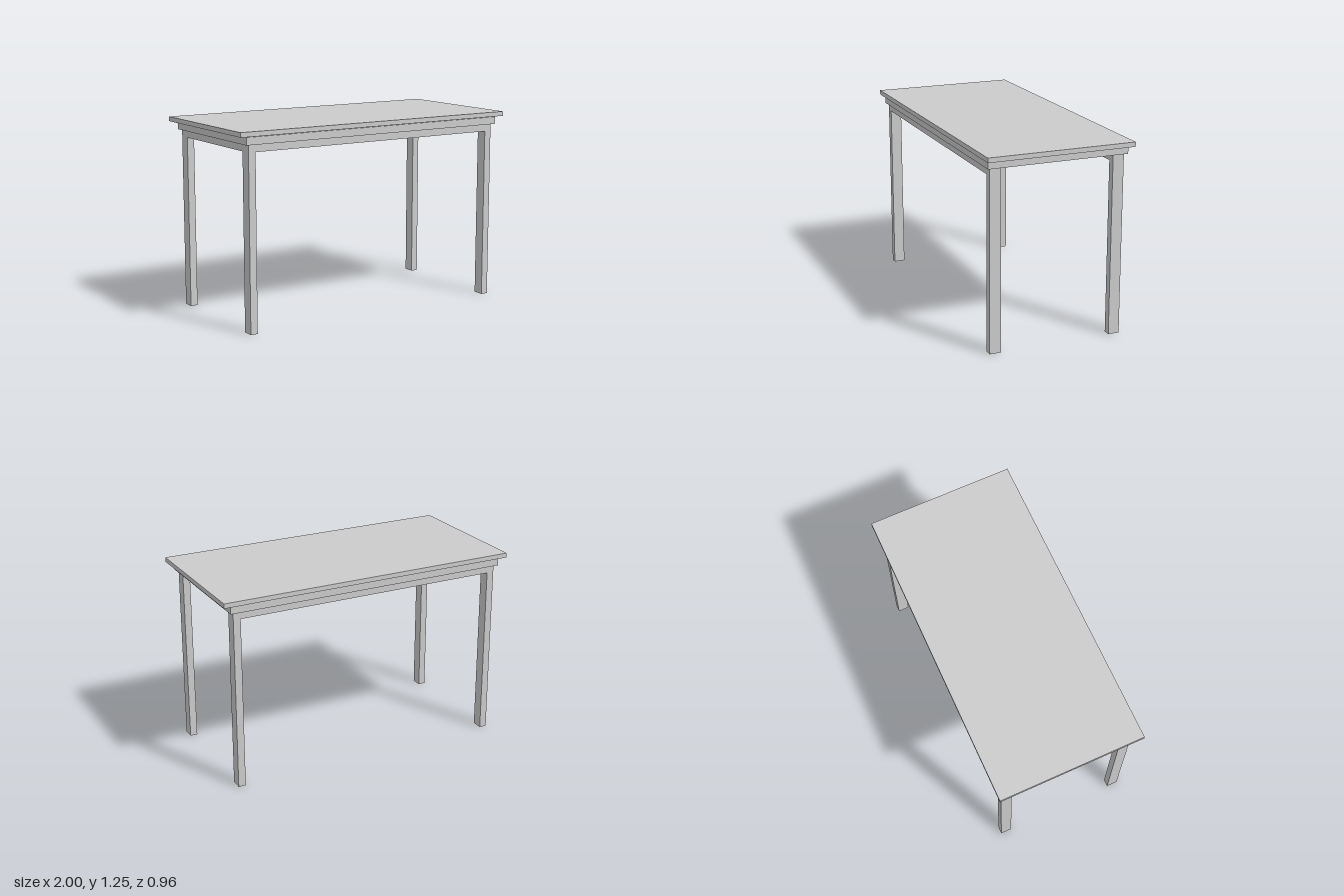
import * as THREE from 'three';

export function createModel() {
  const table = new THREE.Group();
  table.name = 'table';
  const material = new THREE.MeshStandardMaterial({ color: 0xcccccc, flatShading: true });

  // Box given by its lower and upper limits on each axis
  function addBox(name, [x0, x1], [y0, y1], [z0, z1]) {
    const mesh = new THREE.Mesh(new THREE.BoxGeometry(x1 - x0, y1 - y0, z1 - z0), material);
    mesh.position.set((x0 + x1) / 2, (y0 + y1) / 2, (z0 + z1) / 2);
    mesh.name = name;
    table.add(mesh);
  }

  const legOutX = 0.928, legInX = 0.88;
  const legOutZ = 0.44, legInZ = 0.367;
  const apronBottom = 1.123, legTop = 1.17;
  const span = (sign, inner, outer) => (sign > 0 ? [inner, outer] : [-outer, -inner]);

  // Top board floating just above the slab under it
  addBox('tableTop', [-1, 1], [1.223, 1.253], [-0.479, 0.479]);
  addBox('underTop', [-0.95, 0.95], [legTop, 1.218], [-0.457, 0.457]);

  // Four legs
  for (const sx of [1, -1]) {
    for (const sz of [1, -1]) {
      const name = (sz > 0 ? 'front' : 'back') + (sx > 0 ? 'Left' : 'Right') + 'Leg';
      addBox(name, span(sx, legInX, legOutX), [0, legTop], span(sz, legInZ, legOutZ));
    }
  }

  // Long aprons front and back, one short apron at the -x end
  for (const sz of [1, -1]) {
    addBox(sz > 0 ? 'frontApron' : 'backApron',
      [-legInX, legInX], [apronBottom, legTop], span(sz, legInZ, legOutZ));
  }
  addBox('endApron', span(-1, legInX, legOutX), [apronBottom, legTop], [-legInZ, legInZ]);

  return table;
}
